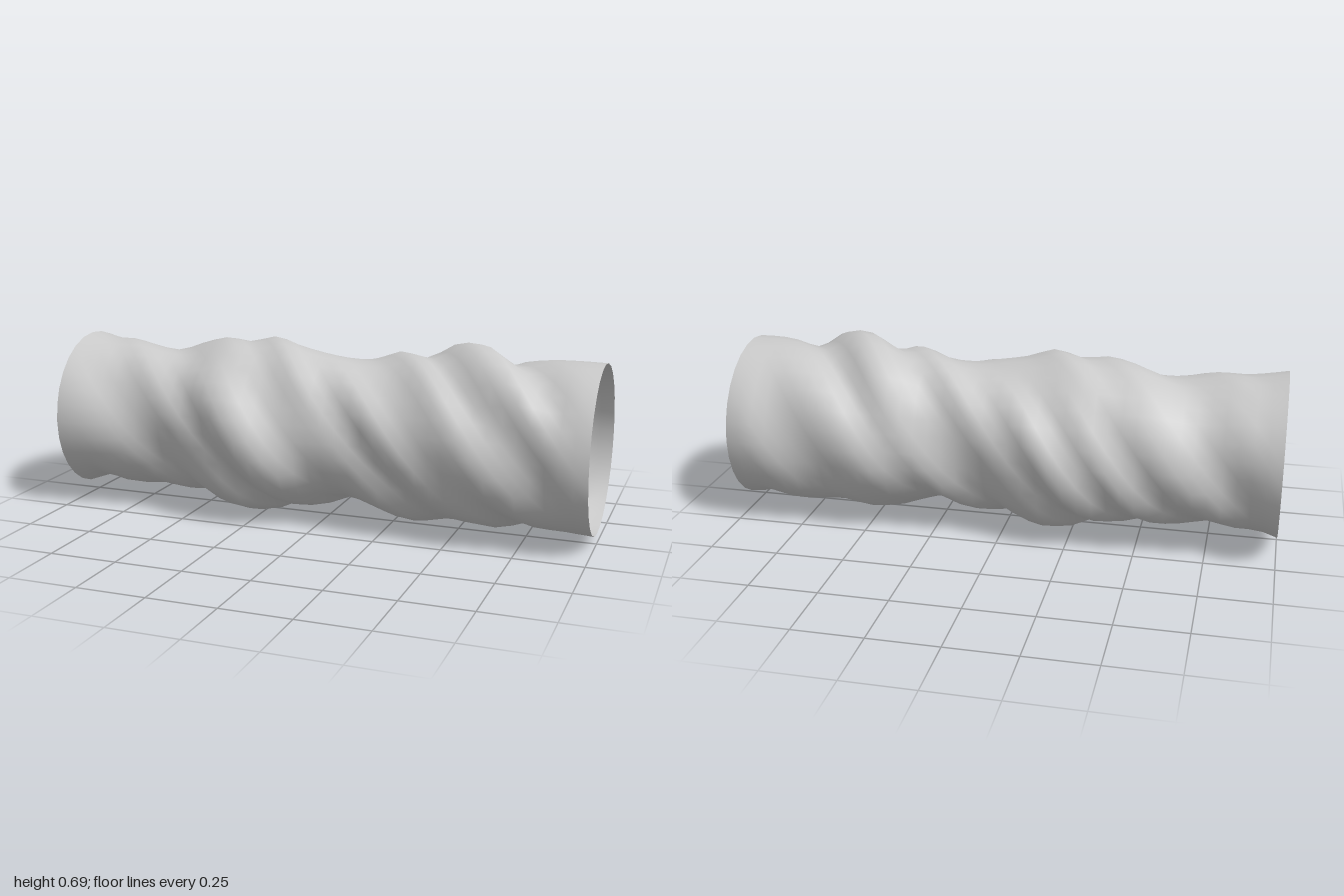
import * as THREE from 'three';

// Tube radius every 0.1 along x, on four sides: top, front, bottom, back
const PROFILES = [
  [.30, .28, .28, .26, .25, .285, .31, .30, .325, .295, .275, .26, .265, .30, .285, .34, .34, .275, .295, .305, .305],
  [.285, .275, .255, .23, .235, .26, .265, .32, .32, .265, .255, .25, .235, .275, .265, .28, .295, .27, .255, .28, .275],
  [.295, .26, .265, .28, .27, .285, .28, .33, .335, .285, .295, .25, .255, .285, .315, .295, .295, .305, .27, .29, .30],
  [.32, .285, .26, .285, .30, .28, .315, .30, .335, .295, .29, .26, .26, .29, .295, .325, .32, .30, .305, .325, .31],
];
const TWIST = 5.2;      // radians the folds wind per unit of length
const MEAN = 0.287;     // average radius
const CENTRE_Y = 0.345;
const RINGS = 40, SIDES = 28;

// Smooth reading of one profile, held constant past the ends
function sample(profile, x) {
  const t = THREE.MathUtils.clamp((x + 1) * 10, 0, 20);
  const i = Math.min(Math.floor(t), 19), f = t - i;
  const p = (k) => profile[THREE.MathUtils.clamp(k, 0, 20)];
  const [a, b, c, d] = [p(i - 1), p(i), p(i + 1), p(i + 2)];
  return b + 0.5 * f * (c - a + f * (2 * a - 5 * b + 4 * c - d + f * (3 * (b - c) + d - a)));
}

// Blend neighbouring profiles along the helix so the folds spiral round the tube
function radiusAt(x, angle) {
  const quarter = Math.PI / 2;
  const side = Math.floor(angle / quarter) % 4;
  const past = angle - side * quarter;
  const w = THREE.MathUtils.smoothstep(past / quarter, 0, 1);
  const from = PROFILES[side], to = PROFILES[(side + 1) % 4];
  const r0 = sample(from, x - past / TWIST);
  const r1 = sample(to, x + (quarter - past) / TWIST);
  // Keep the folds equally deep between the four sides
  const fold = MEAN + (r0 * (1 - w) + r1 * w - MEAN) / Math.hypot(w, 1 - w);
  // The folds fade into smooth round rims
  const rim = sample(from, x) * (1 - w) + sample(to, x) * w;
  return THREE.MathUtils.lerp(rim, fold, THREE.MathUtils.smoothstep(1 - Math.abs(x), 0, 0.2));
}

function twistedTube() {
  const positions = [], indices = [];
  for (let i = 0; i <= RINGS; i++) {
    const x = -1 + 2 * i / RINGS;
    for (let j = 0; j < SIDES; j++) {
      const a = j / SIDES * Math.PI * 2;
      const r = radiusAt(x, a);
      positions.push(x, CENTRE_Y + r * Math.cos(a), r * Math.sin(a));
      if (i === RINGS) continue;
      const p = i * SIDES + j, q = i * SIDES + (j + 1) % SIDES;
      indices.push(p, q, q + SIDES, p, q + SIDES, p + SIDES);
    }
  }
  const geometry = new THREE.BufferGeometry();
  geometry.setAttribute('position', new THREE.Float32BufferAttribute(positions, 3));
  geometry.setIndex(indices);
  geometry.computeVertexNormals();
  return geometry;
}

export function createModel() {
  const group = new THREE.Group();
  group.name = 'twistedSleeve';
  // Open-ended cloth sleeve with spiral folds
  const sleeve = new THREE.Mesh(
    twistedTube(),
    new THREE.MeshStandardMaterial({ color: 0xcccccc, side: THREE.DoubleSide }),
  );
  sleeve.name = 'sleeve';
  group.add(sleeve);
  return group;
}
